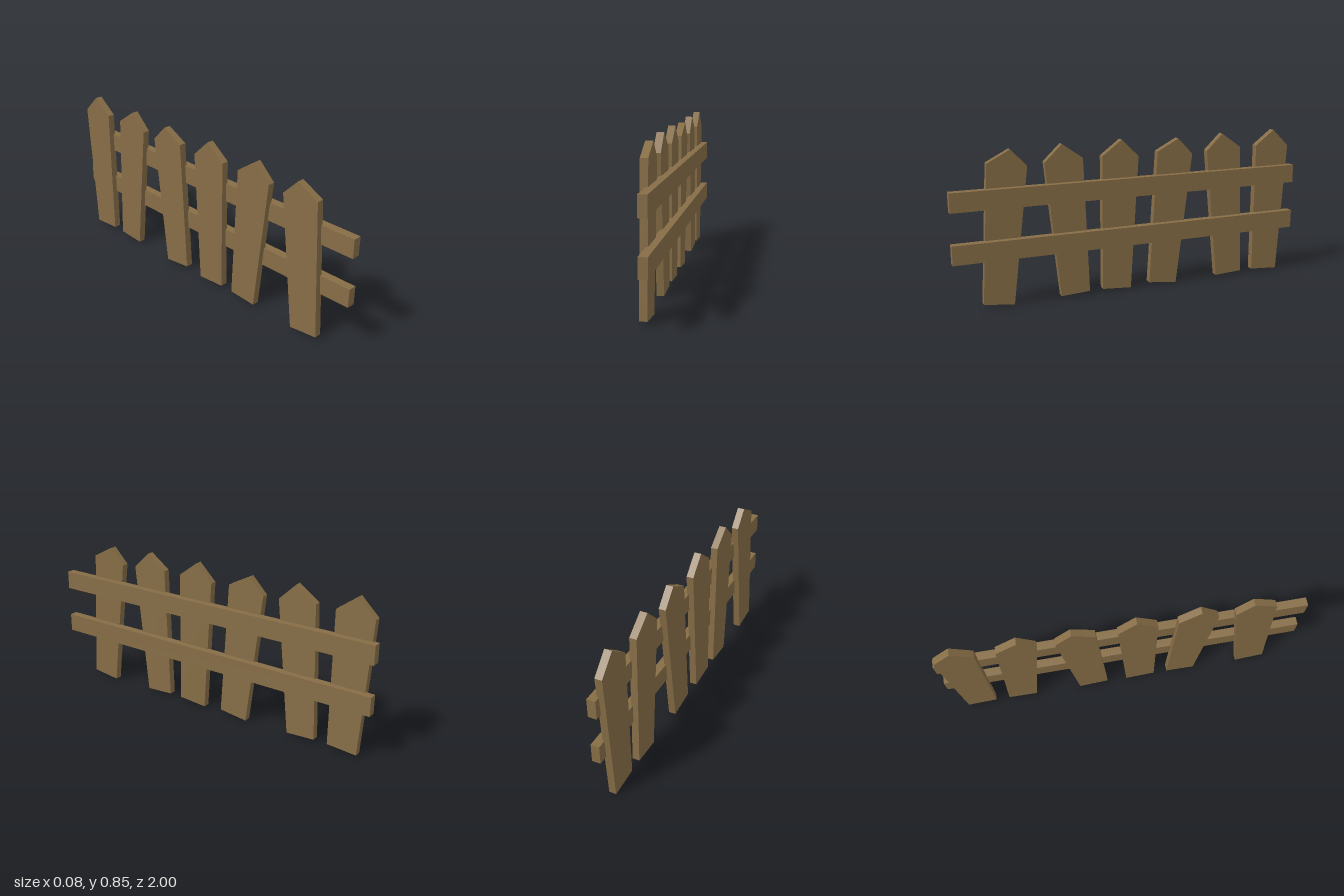
import * as THREE from 'three';

const wood = new THREE.MeshStandardMaterial({ color: 0x866d46, flatShading: true });

// Picket outlines as [z, y]: bottom pair, shoulder, peak, shoulder
const PICKETS = [
  [[0.845, 0.02], [0.68, 0.0], [0.588, 0.742], [0.675, 0.832], [0.799, 0.767]],
  [[0.419, 0.009], [0.257, 0.018], [0.286, 0.762], [0.4, 0.843], [0.496, 0.751]],
  [[0.18, 0.018], [0.014, 0.006], [-0.032, 0.75], [0.066, 0.846], [0.178, 0.762]],
];
const REPEAT = 0.944; // distance between the two groups of three pickets

function picket(outline, shift) {
  const shape = new THREE.Shape(outline.map(([z, y]) => new THREE.Vector2(shift - z, y)));
  const geometry = new THREE.ExtrudeGeometry(shape, { depth: 0.039, bevelEnabled: false });
  geometry.rotateY(Math.PI / 2); // thickness along x
  geometry.translate(-0.038, 0, 0);
  return new THREE.Mesh(geometry, wood);
}

export function createModel() {
  const fence = new THREE.Group();
  fence.name = 'picketFence';

  // Six crooked pickets: three shapes, used twice
  for (let half = 0; half < 2; half++) {
    PICKETS.forEach((outline, i) => {
      const mesh = picket(outline, half * REPEAT);
      mesh.name = `picket${half * 3 + i + 1}`;
      fence.add(mesh);
    });
  }

  // Two horizontal rails, slightly sunk into the pickets
  for (const [name, y] of [['lowerRail', 0.314], ['upperRail', 0.587]]) {
    const rail = new THREE.Mesh(new THREE.BoxGeometry(0.046, 0.103, 2), wood);
    rail.name = name;
    rail.position.set(0.014, y, 0);
    fence.add(rail);
  }
  return fence;
}
